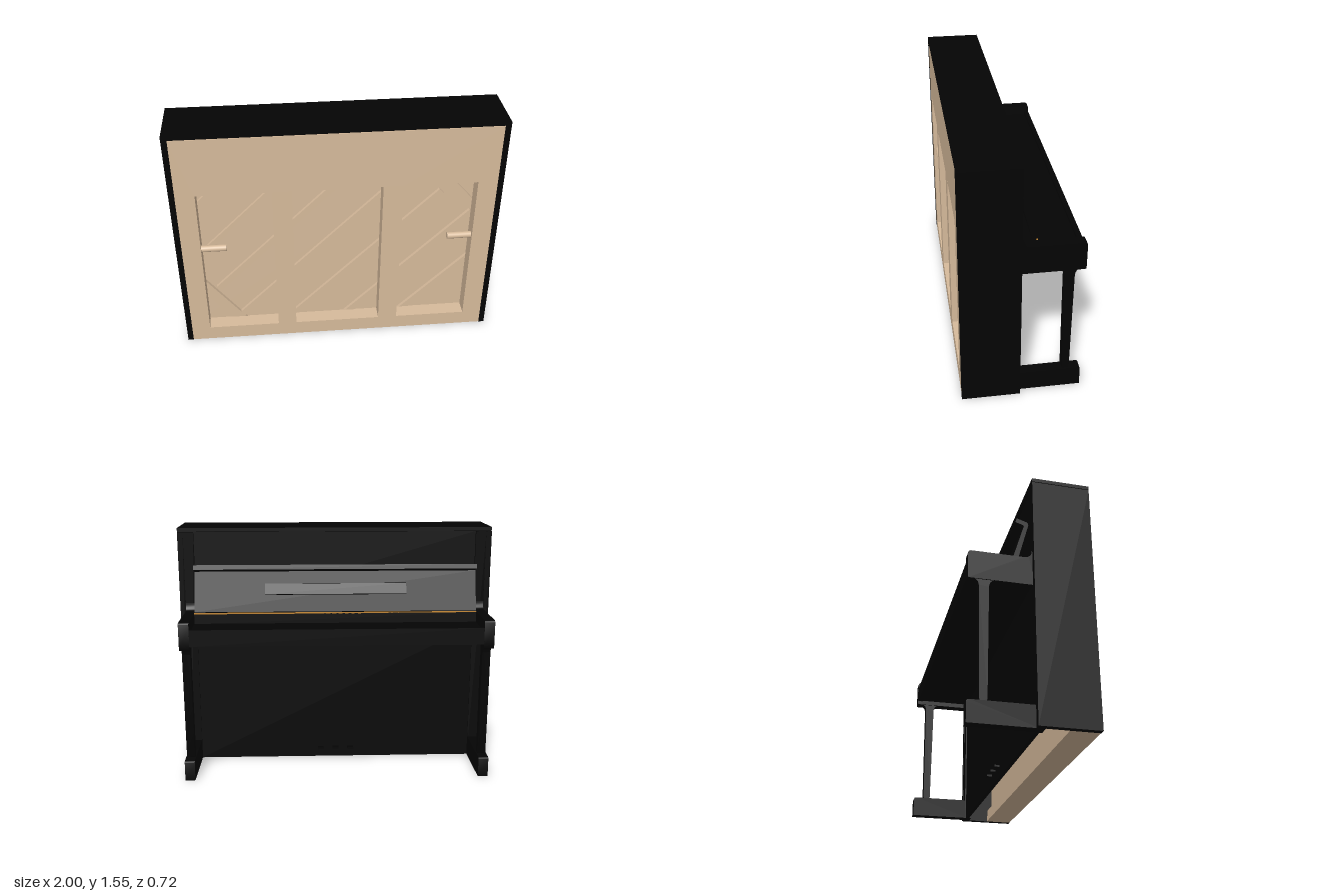
import * as THREE from 'three';
import { toCreasedNormals } from 'three/addons/utils/BufferGeometryUtils.js';

const black = new THREE.MeshStandardMaterial({ color: 0x040404 });
const wood = new THREE.MeshStandardMaterial({ color: 0xd6ba9b });
const brass = new THREE.MeshStandardMaterial({ color: 0xc08432 });

export function createModel() {
  const model = new THREE.Group();

  const add = (name, geometry, material) => {
    const mesh = new THREE.Mesh(geometry, material);
    mesh.name = name;
    model.add(mesh);
    return mesh;
  };
  // Box given by its limits on each axis
  const box = (name, [x0, x1], [y0, y1], [z0, z1], material = black) => {
    const mesh = add(name, new THREE.BoxGeometry(x1 - x0, y1 - y0, z1 - z0), material);
    mesh.position.set((x0 + x1) / 2, (y0 + y1) / 2, (z0 + z1) / 2);
  };
  // Side profile drawn in (z, y), extruded along x
  const profile = (name, shape, x0, x1) => {
    const geometry = new THREE.ExtrudeGeometry(shape, { depth: x1 - x0, bevelEnabled: false, curveSegments: 8 });
    geometry.rotateY(-Math.PI / 2).translate(x1, 0, 0);
    add(name, toCreasedNormals(geometry, 0.6), black);
  };
  const polygon = (points) => new THREE.Shape(points.map(([a, b]) => new THREE.Vector2(a, b)));
  const rect = (x0, x1, y0, y1) => [[x0, y0], [x1, y0], [x1, y1], [x0, y1]];

  // Cabinet
  box('topLid', [-1, 1], [1.527, 1.55], [0.012, 0.36]);
  box('upperPanel', [-0.9, 0.9], [1.0, 1.523], [0.03, 0.05]);
  box('lowerPanel', [-0.9, 0.9], [0, 0.9], [0.022, 0.045]);

  // Keyboard bed, sunk between the arms
  box('keyBed', [-0.9, 0.9], [0.875, 0.955], [-0.335, 0.04]);
  box('keySlip', [-0.9, 0.9], [0.87, 0.975], [-0.355, -0.325]);
  box('keyStrip', [-0.9, 0.9], [0.95, 1.018], [-0.09, 0.036]);
  box('brassStrip', [-0.9, 0.9], [1.016, 1.024], [-0.09, -0.082], brass);

  // Arm with a hollow curve up to the cabinet
  const arm = new THREE.Shape();
  arm.moveTo(0.03, 0.845);
  arm.lineTo(0.03, 1.07);
  arm.lineTo(0.01, 1.07);
  arm.quadraticCurveTo(0.01, 1.02, -0.04, 1.02);
  arm.lineTo(-0.335, 1.02);
  arm.quadraticCurveTo(-0.356, 1.02, -0.356, 1.0);
  arm.lineTo(-0.356, 0.855);
  arm.quadraticCurveTo(-0.356, 0.845, -0.346, 0.845);

  // Tapered leg with a flared head and narrowed foot
  const leg = new THREE.Shape();
  leg.moveTo(-0.2, 0.846);
  leg.quadraticCurveTo(-0.234, 0.845, -0.236, 0.8);
  leg.lineTo(-0.243, 0.14);
  leg.lineTo(-0.25, 0.12);
  leg.lineTo(-0.28, 0.12);
  leg.lineTo(-0.288, 0.14);
  leg.lineTo(-0.293, 0.8);
  leg.quadraticCurveTo(-0.294, 0.843, -0.325, 0.846);

  const toe = new THREE.Shape();
  toe.moveTo(0.03, 0);
  toe.lineTo(0.03, 0.128);
  toe.lineTo(-0.34, 0.128);
  toe.quadraticCurveTo(-0.356, 0.128, -0.356, 0.112);
  toe.lineTo(-0.356, 0);

  for (const s of [-1, 1]) {
    const span = (a, b) => (s > 0 ? [a, b] : [-b, -a]);
    box('sidePanel', span(0.965, 1), [0, 1.523], [0.012, 0.36]);
    box('cheek', span(0.9, 0.966), [0, 1.523], [0.014, 0.06]);
    profile('arm', arm, ...span(0.9, 0.963));
    profile('leg', leg, ...span(0.906, 0.957));
    profile('toeBlock', toe, ...span(0.9, 0.963));
  }

  // Open fallboard with a turned lip and a hinged music ledge
  profile('fallboard', polygon([
    [-0.061, 1.018], [0.012, 1.285], [0.011, 1.297], [0.002, 1.306], [-0.057, 1.325],
    [-0.066, 1.297], [-0.02, 1.283], [-0.015, 1.277], [-0.09, 1.03],
  ]), -0.898, 0.898);
  profile('musicLedge', polygon([
    [-0.036, 1.203], [-0.046, 1.203], [-0.075, 1.14], [-0.064, 1.134], [-0.052, 1.165],
  ]), -0.45, 0.45);

  // Pedals
  for (const x of [-0.1, 0, 0.1]) {
    box('pedal', [x - 0.02, x + 0.02], [0.06, 0.072], [-0.01, 0.03]);
  }

  // Back frame with three openings
  const openings = [[-0.848, -0.395], [-0.278, 0.27], [0.392, 0.845]];
  const frame = polygon(rect(-0.965, 0.965, 0, 1.523));
  for (const [x0, x1] of openings) {
    frame.holes.push(polygon(rect(x0, x1, 0.097, 1.145)));
  }
  add('backFrame', new THREE.ExtrudeGeometry(frame, { depth: 0.091, bevelEnabled: false }).translate(0, 0, 0.267), wood);
  box('soundboard', [-0.965, 0.965], [0.03, 1.5], [0.225, 0.245], wood);

  // Flat bar on the soundboard running between two points
  const bar = (name, x0, y0, x1, y1, width) => {
    const mesh = add(name, new THREE.BoxGeometry(Math.hypot(x1 - x0, y1 - y0), width, 0.025), wood);
    mesh.position.set((x0 + x1) / 2, (y0 + y1) / 2, 0.254);
    mesh.rotation.z = Math.atan2(y1 - y0, x1 - x0);
  };

  // Diagonal ribs, trimmed where they meet the frame or a corner brace
  for (let i = 0; i < 7; i++) {
    const c = 1.86 - 0.37 * i;
    let start = Math.max(-0.9, 0.06 - c);
    let end = Math.min(0.9, 1.19 - c);
    if (i === 2) start = -0.77;
    if (i === 4) end = 0.65;
    bar('rib', start, start + c, end, end + c, 0.042);
  }
  bar('cornerBrace', -0.88, 0.4, -0.62, 0.05, 0.07);
  bar('cornerBrace', 0.62, 1.18, 0.88, 0.88, 0.06);

  // Carrying handles
  for (const x of [-0.77, 0.77]) {
    const handle = add('handle', new THREE.CylinderGeometry(0.021, 0.021, 0.155, 24), wood);
    handle.rotation.z = Math.PI / 2;
    handle.position.set(x, 0.73, 0.325);
  }

  // Sill boards inside the open bottom
  box('sill', [-0.965, 0.965], [0, 0.035], [0.19, 0.28], wood);
  box('sillRail', [-0.965, 0.965], [0.04, 0.08], [0.195, 0.28], wood);

  return model;
}
